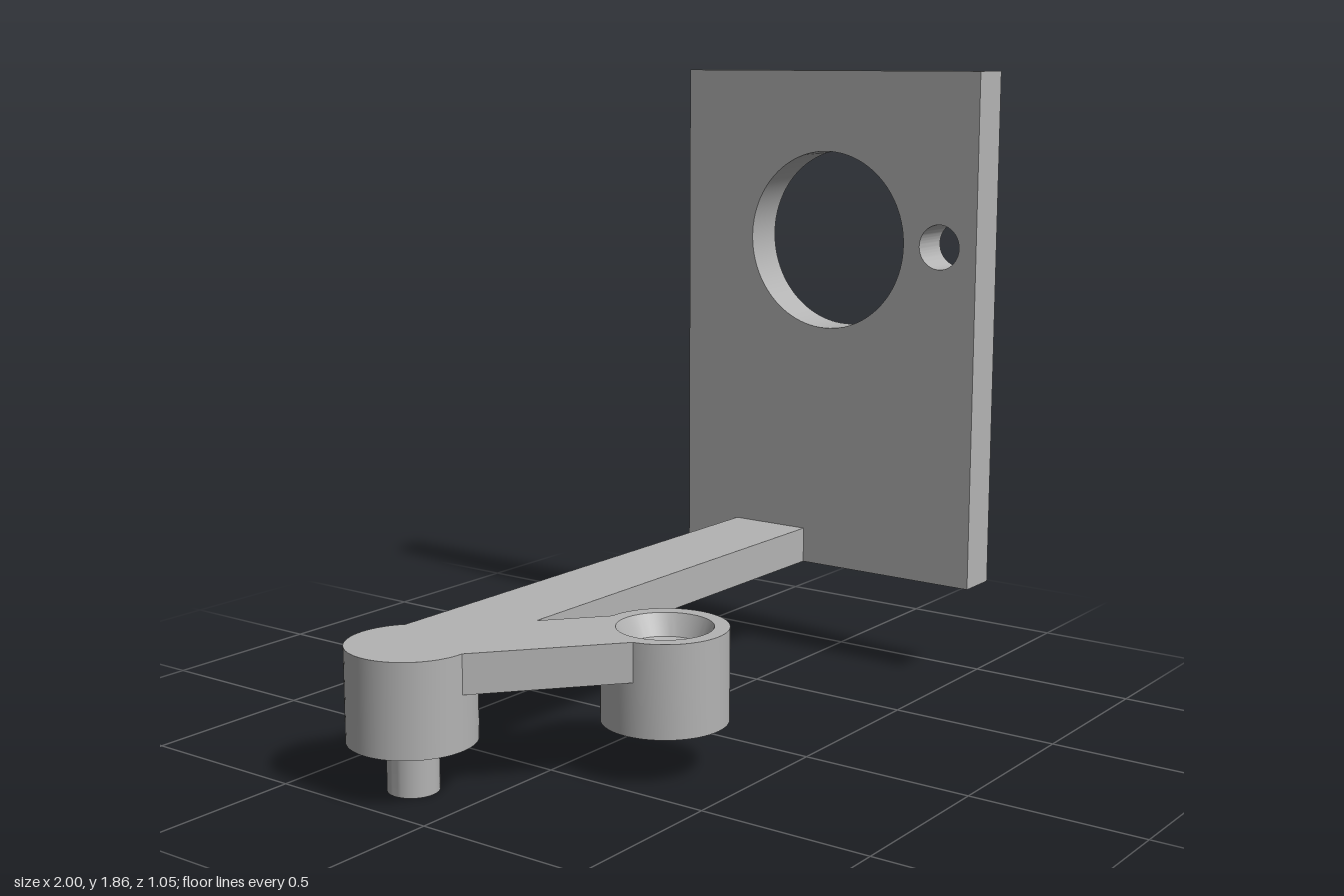
import * as THREE from 'three';
import { toCreasedNormals } from 'three/addons/utils/BufferGeometryUtils.js';

const TOP = 0.4, ARM_BOTTOM = 0.29, BOSS_BOTTOM = 0.14, BOSS_R = 0.175, HALF_W = 0.13;
const PIVOT = { x: -0.825, z: -0.2 };
const SOCKET = { x: -0.305, z: 0.24 };

export function createModel() {
  const model = new THREE.Group();
  const grey = new THREE.MeshStandardMaterial({ color: 0xb3b3b3 });
  grey.name = 'plain grey';

  const add = (name, geometry, x, y, z) => {
    const mesh = new THREE.Mesh(toCreasedNormals(geometry, 0.5), grey);
    mesh.name = name;
    mesh.position.set(x, y, z);
    model.add(mesh);
    return mesh;
  };
  const extrude = (shape, depth) =>
    new THREE.ExtrudeGeometry(shape, { depth, bevelEnabled: false, curveSegments: 48 });

  // upright plate with a large and a small through hole (shape x = -z)
  const plate = new THREE.Shape();
  plate.moveTo(-0.525, ARM_BOTTOM).lineTo(0.525, ARM_BOTTOM).lineTo(0.525, 1.86).lineTo(-0.525, 1.86).closePath();
  for (const [x, r] of [[0, 0.277], [-0.4, 0.068]]) {
    plate.holes.push(new THREE.Path().absarc(x, 1.335, r, 0, Math.PI * 2, true));
  }
  add('uprightPlate', extrude(plate, 0.13).rotateY(Math.PI / 2), 0.87, 0, 0);

  // long arm from the pivot boss to the plate
  const armLength = 0.87 - PIVOT.x;
  add('longArm', new THREE.BoxGeometry(armLength, TOP - ARM_BOTTOM, HALF_W * 2),
    PIVOT.x + armLength / 2, (TOP + ARM_BOTTOM) / 2, PIVOT.z);

  // slanted link, its far end hollowed to clear the socket bore
  const dx = SOCKET.x - PIVOT.x, dz = SOCKET.z - PIVOT.z;
  const span = Math.hypot(dx, dz), clear = 0.15;
  const a = Math.asin(HALF_W / clear);
  const link = new THREE.Shape();
  link.moveTo(0, -HALF_W);
  link.lineTo(span - clear * Math.cos(a), -HALF_W);
  link.absarc(span, 0, clear, Math.PI + a, Math.PI - a, true);
  link.lineTo(0, HALF_W);
  link.closePath();
  const linkGeometry = extrude(link, TOP - ARM_BOTTOM).rotateX(Math.PI / 2).rotateY(-Math.atan2(dz, dx));
  add('slantedLink', linkGeometry, PIVOT.x, TOP, PIVOT.z);

  // pivot boss with a pin below
  add('pivotBoss', new THREE.CylinderGeometry(BOSS_R, BOSS_R, TOP - BOSS_BOTTOM, 64),
    PIVOT.x, (TOP + BOSS_BOTTOM) / 2, PIVOT.z);
  add('pivotPin', new THREE.CylinderGeometry(0.07, 0.07, BOSS_BOTTOM, 48),
    PIVOT.x, BOSS_BOTTOM / 2, PIVOT.z);

  // socket boss with a tapered recess and a through bore
  const profile = [
    [0.078, BOSS_BOTTOM], [BOSS_R, BOSS_BOTTOM], [BOSS_R, TOP], [0.133, TOP],
    [0.105, 0.34], [0.078, 0.33], [0.078, BOSS_BOTTOM],
  ].map(([r, y]) => new THREE.Vector2(r, y));
  add('socketBoss', new THREE.LatheGeometry(profile, 64), SOCKET.x, 0, SOCKET.z);

  return model;
}
